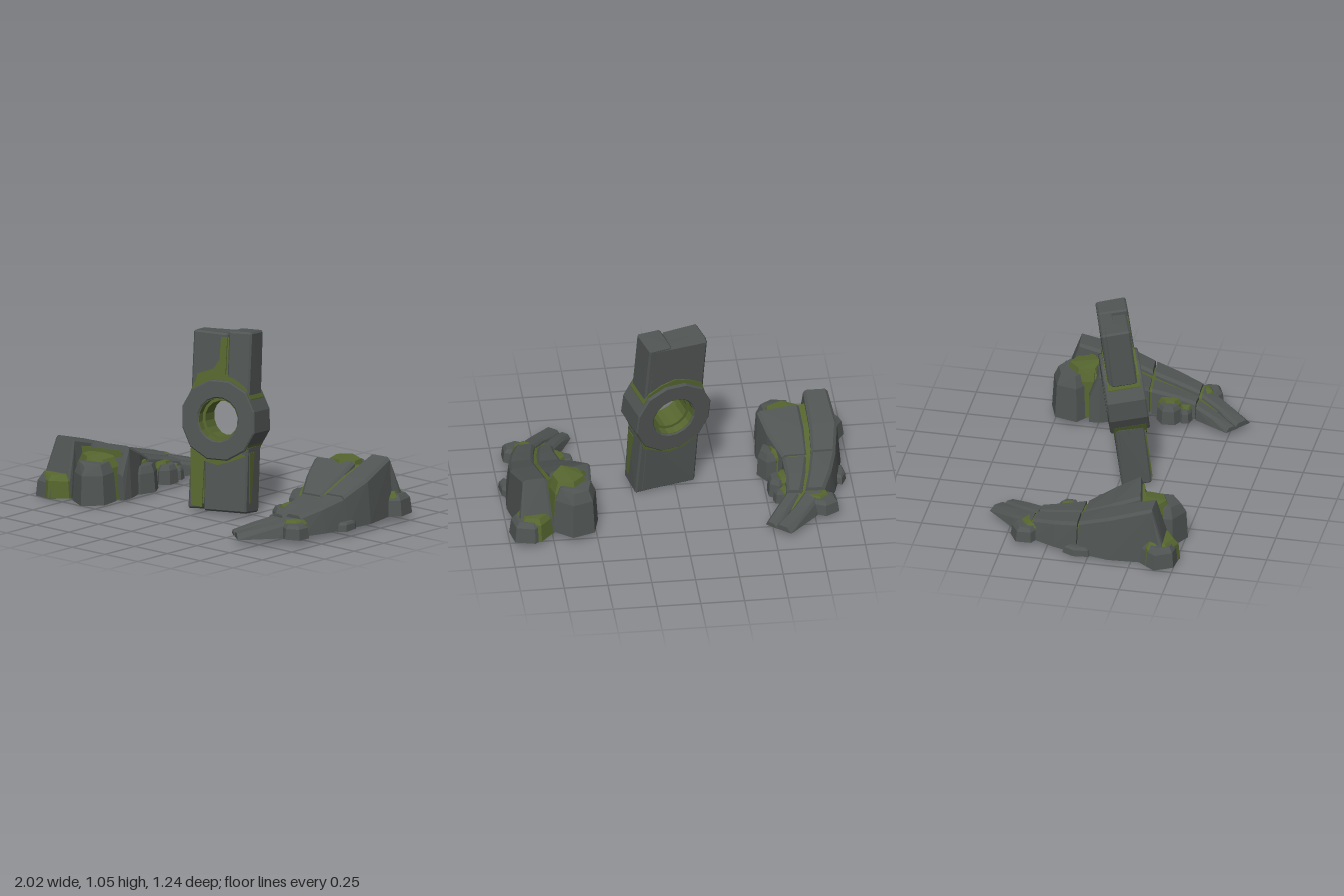
import * as THREE from 'three';
import { mergeGeometries } from 'three/addons/utils/BufferGeometryUtils.js';
import { ConvexGeometry } from 'three/addons/geometries/ConvexGeometry.js';

const stone = new THREE.MeshStandardMaterial({ color: 0x505553, flatShading: true });
stone.name = 'darkStone';
const moss = new THREE.MeshStandardMaterial({ color: 0x56662f, flatShading: true });
moss.name = 'mossGreen';

let seed = 7;
const rand = () => (seed = (seed * 16807) % 2147483647) / 2147483647;
const jitter = (a) => (rand() - 0.5) * 2 * a;
const V = (x, y, z) => new THREE.Vector3(x, y, z);

function add(parent, name, geometry, material) {
  const mesh = new THREE.Mesh(geometry, material);
  mesh.name = name;
  parent.add(mesh);
  return mesh;
}

// Chamfered, slightly uneven block between two corners
function block(x0, x1, y0, y1, z0, z1, c = 0.01, rough = 0.005) {
  const pts = [];
  for (const [x, sx] of [[x0, 1], [x1, -1]])
    for (const [y, sy] of [[y0, 1], [y1, -1]])
      for (const [z, sz] of [[z0, 1], [z1, -1]]) {
        const j = V(jitter(rough), jitter(rough), jitter(rough));
        pts.push(V(x + sx * c, y + sy * c, z).add(j));
        pts.push(V(x + sx * c, y, z + sz * c).add(j));
        pts.push(V(x, y + sy * c, z + sz * c).add(j));
      }
  return new ConvexGeometry(pts);
}

// Rock ridge: stations are [outerX, outerZ, innerX, innerZ, height]
function ridge(stations, flare = 0.02, base = 0, chamfer = 0.016) {
  const sections = stations.map(([xo, zo, xi, zi, h]) => {
    const out = V(xo - xi, 0, zo - zi).normalize();
    const c = Math.min(chamfer, h * 0.4);
    const at = (x, z, y, d) => V(x, y, z).addScaledVector(out, d);
    return [
      at(xo, zo, base, flare), at(xo, zo, h - c, 0), at(xo, zo, h, -c),
      at(xi, zi, h, c), at(xi, zi, h - c, 0), at(xi, zi, base, -flare * 0.5),
    ];
  });
  const parts = [];
  for (let i = 1; i < sections.length; i++)
    parts.push(new ConvexGeometry([...sections[i - 1], ...sections[i]]));
  return mergeGeometries(parts);
}

// Chunky boulder with a wide foot, a shoulder and a smaller crown
function boulder(cx, cz, rx, rz, h) {
  const pts = [];
  const n = 6, turn = rand();
  for (let i = 0; i < n; i++) {
    const a = ((i + turn) / n) * Math.PI * 2;
    const k = 1.04 + jitter(0.08);
    for (const [s, y] of [[1, 0], [0.9, 0.72], [0.68, 0.96 + jitter(0.04)]])
      pts.push(V(cx + Math.cos(a) * rx * s * k, h * y, cz + Math.sin(a) * rz * s * k));
  }
  return new ConvexGeometry(pts);
}

function makeOutcrop(name, frontHeight) {
  const g = new THREE.Group();
  g.name = name;
  const columns = {
    outerRidgeHigh: [[-0.94, 0.44, -0.75, 0.43, 0.11], [-0.91, 0.36, -0.77, 0.36, 0.335],
      [-0.935, 0.12, -0.775, 0.11, 0.26], [-0.905, -0.06, -0.765, -0.06, 0.19]],
    outerRidgeMiddle: [[-0.905, -0.07, -0.76, -0.075, 0.185], [-0.865, -0.21, -0.735, -0.2, 0.15],
      [-0.81, -0.345, -0.7, -0.335, 0.115]],
    outerRidgeTail: [[-0.805, -0.355, -0.69, -0.35, 0.1], [-0.72, -0.47, -0.62, -0.45, 0.07],
      [-0.57, -0.625, -0.51, -0.57, 0.03]],
    innerRidgeHigh: [[-0.735, 0.31, -0.49, 0.27, 0.15], [-0.735, 0.26, -0.49, 0.21, 0.305],
      [-0.745, 0.1, -0.53, 0.08, 0.24], [-0.745, -0.06, -0.6, -0.06, 0.17]],
    innerRidgeMiddle: [[-0.74, -0.075, -0.6, -0.075, 0.165], [-0.715, -0.2, -0.605, -0.2, 0.135],
      [-0.68, -0.335, -0.595, -0.325, 0.1]],
    innerRidgeTail: [[-0.67, -0.345, -0.585, -0.33, 0.085], [-0.6, -0.45, -0.52, -0.43, 0.06],
      [-0.5, -0.565, -0.46, -0.525, 0.025]],
  };
  for (const [part, stations] of Object.entries(columns)) add(g, part, ridge(stations), stone);

  // Moss filling the seams, over a stone footing
  add(g, 'mossCore', ridge([[-0.88, 0.33, -0.52, 0.24, 0.28], [-0.9, 0.1, -0.56, 0.08, 0.222],
    [-0.88, -0.07, -0.62, -0.07, 0.155], [-0.78, -0.35, -0.61, -0.34, 0.075],
    [-0.7, -0.46, -0.54, -0.44, 0.04]], 0, 0.012), moss);
  add(g, 'footing', ridge([[-0.92, 0.42, -0.55, 0.36, 0.02], [-0.94, 0.1, -0.52, 0.08, 0.02],
    [-0.9, -0.07, -0.59, -0.07, 0.02], [-0.8, -0.35, -0.59, -0.33, 0.02],
    [-0.71, -0.46, -0.52, -0.43, 0.02]], 0), stone);

  // Boulders at the foot: [x, z, radiusX, radiusZ, height, mossShiftX, mossShiftZ]
  [
    [-0.61, 0.375, 0.13, 0.125, frontHeight, -0.03, -0.07],
    [-0.885, 0.405, 0.115, 0.115, 0.125, 0.03, -0.01],
    [-0.535, 0.04, 0.065, 0.1, 0.16, -0.045, 0.01],
    [-0.56, -0.18, 0.06, 0.07, 0.11, -0.04, 0],
    [-0.57, -0.27, 0.045, 0.04, 0.075, -0.03, 0],
    [-0.8, -0.385, 0.085, 0.08, 0.085, 0.04, 0.035],
  ].forEach(([x, z, rx, rz, h, mx, mz]) => {
    add(g, 'boulder', boulder(x, z, rx, rz, h), stone);
    add(g, 'boulderMoss', boulder(x + mx, z + mz, rx, rz, h * 1.1).translate(0, 0.004, 0), moss);
  });
  add(g, 'outerLedge', boulder(-0.92, -0.06, 0.04, 0.085, 0.05), stone);
  return g;
}

// Many-sided ring shape; xLimit trims it to the pillar width
function ringShape(radius, hole, sides, rough = 0, xLimit = 9) {
  const circle = (r, n, k) => Array.from({ length: n }, (_, i) => {
    const a = ((i + 0.5) / n) * Math.PI * 2, q = r + jitter(k);
    return new THREE.Vector2(THREE.MathUtils.clamp(Math.cos(a) * q, -xLimit, xLimit), Math.sin(a) * q);
  });
  const shape = new THREE.Shape(circle(radius, sides, rough));
  shape.holes.push(new THREE.Path(circle(hole, 16, 0)));
  return shape;
}

function extrudeCentred(shape, depth, bevel = 0) {
  return new THREE.ExtrudeGeometry(shape, {
    depth: depth - 2 * bevel, bevelEnabled: bevel > 0, bevelSize: bevel,
    bevelThickness: bevel, bevelOffset: -bevel, bevelSegments: 1,
  }).translate(0, 0, -depth / 2 + bevel);
}

function makePillar() {
  const g = new THREE.Group();
  g.name = 'ringedPillar';

  // Shafts above and below the ring, split at the front and whole at the back
  add(g, 'upperLeftShaft', block(-0.185, 0.025, 0.14, 0.495, -0.07, 0.077), stone);
  add(g, 'upperRightShaft', block(0.04, 0.18, 0.14, 0.51, -0.088, 0.09), stone);
  add(g, 'upperBackShaft', block(-0.183, 0.16, 0.14, 0.497, -0.088, 0.0), stone);
  add(g, 'lowerLeftShaft', block(-0.18, -0.1, -0.525, -0.14, -0.08, 0.08), stone);
  add(g, 'lowerRightShaft', block(-0.085, 0.185, -0.53, -0.14, -0.085, 0.09), stone);
  add(g, 'lowerBackShaft', block(-0.178, 0.16, -0.527, -0.14, -0.088, 0.0), stone);
  add(g, 'upperSeamMoss', block(-0.16, 0.16, 0.14, 0.47, -0.03, 0.07, 0.01, 0), moss);
  add(g, 'lowerSeamMoss', block(-0.16, 0.16, -0.5, -0.14, -0.03, 0.076, 0.01, 0), moss);

  // Moss streaks on the shaft faces
  const streak = (name, pts, z) => {
    const shape = new THREE.Shape(pts.map(([x, y]) => new THREE.Vector2(x, y)));
    return add(g, name, new THREE.ExtrudeGeometry(shape, { depth: 0.008, bevelEnabled: false })
      .translate(0, 0, z), moss);
  };
  streak('upperFrontMoss', [[-0.16, 0.2], [0.025, 0.2], [0.028, 0.47], [-0.01, 0.47], [-0.015, 0.34], [-0.05, 0.285], [-0.15, 0.25]], 0.075);
  streak('lowerFrontMoss', [[-0.16, -0.5], [-0.092, -0.51], [-0.085, -0.18], [-0.175, -0.18]], 0.079);
  const side = streak('lowerSideMoss', [[-0.05, -0.47], [-0.03, -0.47], [-0.005, -0.18], [-0.075, -0.18]], 0);
  side.rotation.y = Math.PI / 2;
  side.position.x = 0.181;

  // Ring with a mossy collar and a stepped mossy hole
  add(g, 'ring', extrudeCentred(ringShape(0.234, 0.124, 12, 0.006), 0.225, 0.007), stone);
  add(g, 'ringCollarMoss', extrudeCentred(ringShape(0.254, 0.16, 18, 0.008, 0.19), 0.187), moss);
  add(g, 'holeLiningMoss', extrudeCentred(ringShape(0.15, 0.121, 16), 0.21), moss);
  add(g, 'holeStepMoss', extrudeCentred(ringShape(0.14, 0.104, 16), 0.11), moss);

  g.rotation.set(-0.13, 0.3, 0.058);
  g.position.set(0.05, 0.545, 0.004);
  return g;
}

export function createModel() {
  seed = 7;
  const model = new THREE.Group();
  model.name = 'stoneRuin';
  model.add(makePillar());

  const right = makeOutcrop('rightOutcrop', 0.235);
  right.position.set(-0.005, 0.028, 0);
  right.rotation.x = 0.025;
  model.add(right);

  const left = makeOutcrop('leftOutcrop', 0.285);
  left.rotation.y = Math.PI + 0.085;
  left.position.set(0.042, 0.045, 0.015);
  model.add(left);
  return model;
}
